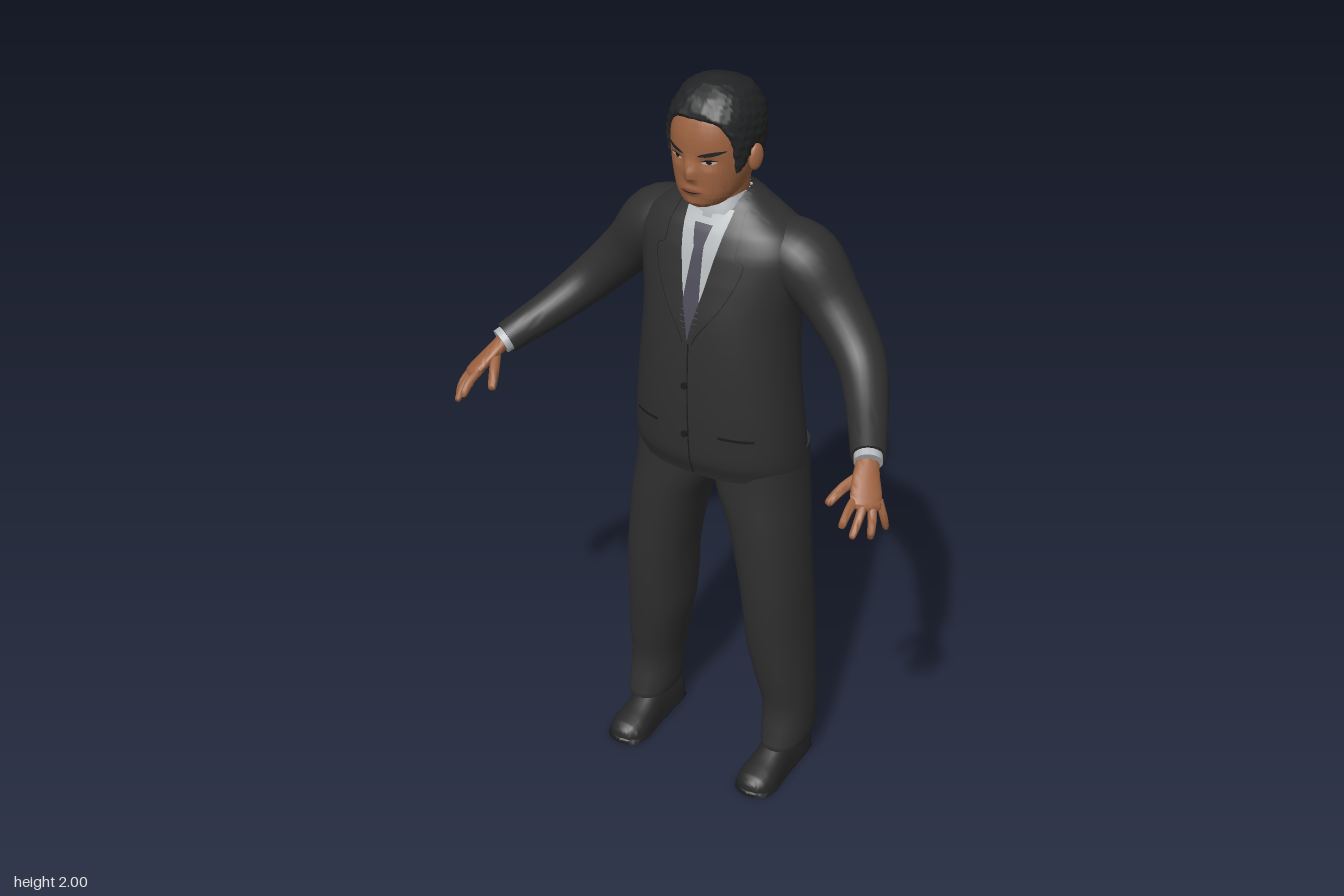
import * as THREE from 'three';
import { toCreasedNormals } from 'three/addons/utils/BufferGeometryUtils.js';

const mat = (name, color) => Object.assign(new THREE.MeshStandardMaterial({ color }), { name });
const { smoothstep } = THREE.MathUtils;
const spow = (v, p) => Math.sign(v) * Math.abs(v) ** p;

// Smooth lookup in a table whose first column is an ascending key
function section(rows, key) {
  let i = 0;
  while (i < rows.length - 2 && key > rows[i + 1][0]) i++;
  const r = k => rows[Math.min(Math.max(k, 0), rows.length - 1)];
  const t = Math.min(Math.max((key - r(i)[0]) / (r(i + 1)[0] - r(i)[0]), 0), 1);
  return r(i).slice(1).map((_, c) => {
    const [a, b, d, e] = [-1, 0, 1, 2].map(o => r(i + o)[c + 1]);
    return b + 0.5 * t * (d - a + t * (2 * a - 5 * b + 4 * d - e + t * (3 * (b - d) + e - a)));
  });
}

// Keys of a table with extra steps between the rows
function steps(rows, k) {
  const out = [];
  for (let i = 0; i < rows.length - 1; i++)
    for (let j = 0; j < k; j++) out.push(rows[i][0] + (rows[i + 1][0] - rows[i][0]) * j / k);
  return [...out, rows.at(-1)[0]];
}

// Closed skin through equal rings of points, with fan caps
function loft(rings, crease = 1) {
  const n = rings[0].length, pos = [], idx = [];
  rings.forEach(r => r.forEach(p => pos.push(p.x, p.y, p.z)));
  for (let i = 0; i < rings.length - 1; i++)
    for (let j = 0; j < n; j++) {
      const a = i * n + j, b = i * n + (j + 1) % n;
      idx.push(a, b, a + n, b, b + n, a + n);
    }
  [0, rings.length - 1].forEach((i, end) => {
    const c = rings[i].reduce((s, p) => s.add(p), new THREE.Vector3()).divideScalar(n);
    const m = pos.push(c.x, c.y, c.z) / 3 - 1;
    for (let j = 0; j < n; j++) {
      const a = i * n + j, b = i * n + (j + 1) % n;
      idx.push(...(end ? [a, b, m] : [b, a, m]));
    }
  });
  const g = new THREE.BufferGeometry();
  g.setAttribute('position', new THREE.Float32BufferAttribute(pos, 3));
  g.setIndex(idx);
  return toCreasedNormals(g, crease);
}

// Upright body from rows [y, halfWidth, zFront, zBack, centreX]
function body(rows, { seg = 48, k = 4, n = 2.3, s = 1, rule } = {}) {
  return loft(steps(rows, k).map(y => {
    const [w, zf, zb, cx = 0] = section(rows, y);
    return Array.from({ length: seg }, (_, j) => {
      const a = j / seg * Math.PI * 2;
      const p = new THREE.Vector3(w * spow(Math.sin(a), 2 / n), y,
        (zf + zb) / 2 + (zf - zb) / 2 * spow(Math.cos(a), 2 / n));
      if (rule) rule(p, a);
      p.x += s * cx;
      return p;
    });
  }));
}

// Depth of a body's front or back at x, y
function surface(rows, back, n = 2.3, bump = () => 0) {
  return (x, y) => {
    const [w, zf, zb] = section(rows, y);
    const d = (zf - zb) / 2 * Math.max(0, 1 - Math.abs(x / w) ** n) ** (1 / n);
    return (zf + zb) / 2 + (back ? -d : d + bump(x, y));
  };
}

// Thin sheet laid on a surface; at(u, v) gives x and y
function patch(surf, at, off, back = false, nu = 8, nv = 16) {
  const g = new THREE.PlaneGeometry(1, 1, nu, nv), p = g.attributes.position;
  for (let i = 0; i < p.count; i++) {
    const [x, y] = at(p.getX(i) + 0.5, p.getY(i) + 0.5);
    p.setXYZ(i, x, y, surf(x, y) + (back ? -off : off));
  }
  const [l, r, b, t] = [at(0, 0.5), at(1, 0.5), at(0.5, 0), at(0.5, 1)];
  const turn = (r[0] - l[0]) * (t[1] - b[1]) - (r[1] - l[1]) * (t[0] - b[0]);
  if (turn * (back ? -1 : 1) < 0) g.index.array.reverse();
  g.computeVertexNormals();
  return g;
}

// Tapered limb along points [x, y, z, radiusAcross, radiusAlongUp]
function limb(pts, s, up, seg = 16, k = 5) {
  const rows = pts.map((p, i) => [i, ...p]);
  const at = u => { const q = section(rows, u); return new THREE.Vector3(q[0] * s, q[1], q[2]); };
  const upV = new THREE.Vector3(up[0] * s, up[1], up[2]);
  return loft(steps(rows, k).map(u => {
    const [, , , ra, rb] = section(rows, u), c = at(u);
    const t = at(Math.min(u + 0.05, pts.length - 1)).sub(at(Math.max(u - 0.05, 0))).normalize();
    const e1 = upV.clone().cross(t).normalize(), e2 = t.clone().cross(e1);
    return Array.from({ length: seg }, (_, j) => {
      const a = j / seg * Math.PI * 2;
      return c.clone().addScaledVector(e1, ra * Math.cos(a)).addScaledVector(e2, rb * Math.sin(a));
    });
  }), 1.2);
}

// Flat-bottomed form along z from rows [z, halfWidth, height]
const shoeForm = (rows, cx, y0) => loft(steps(rows, 4).map(z => {
  const [w, h] = section(rows, z);
  return Array.from({ length: 24 }, (_, j) => {
    const a = j / 24 * Math.PI * 2;
    return new THREE.Vector3(cx + w * spow(Math.cos(a), 0.8), y0 + h * Math.max(0, Math.sin(a)) ** 0.8, z);
  });
}), 0.9);

// Body tables
const JACKET = [[0.95, .232, .045, -.272], [1, .232, .064, -.265], [1.1, .225, .07, -.255], [1.2, .215, .07, -.25],
  [1.3, .208, .065, -.255], [1.4, .207, .053, -.265], [1.5, .222, .03, -.26], [1.57, .228, .01, -.25],
  [1.62, .2, -.012, -.235], [1.66, .14, -.04, -.215], [1.69, .1, -.06, -.195], [1.705, .083, -.075, -.18]];
const LEG = [[.085, .058, -.01, -.2, .219], [.1, .062, -.01, -.202, .219], [.2, .066, -.03, -.205, .216],
  [.3, .075, -.015, -.207, .205], [.4, .083, 0, -.21, .192], [.5, .085, .012, -.215, .185], [.6, .087, .02, -.21, .178],
  [.7, .092, .023, -.215, .165], [.8, .1, .025, -.228, .148], [.9, .115, .023, -.243, .122], [1, .115, .02, -.245, .115]];
const HEAD = [[1.695, .03, .022, -.05], [1.705, .053, .034, -.09], [1.73, .075, .041, -.13], [1.77, .09, .044, -.165],
  [1.81, .098, .046, -.182], [1.85, .101, .047, -.19], [1.89, .1, .043, -.192], [1.93, .092, .028, -.18],
  [1.965, .068, -.005, -.15], [1.982, .035, -.037, -.105], [1.99, .003, -.068, -.074]];
const HAIRLINE = [[0, 1.922], [.6, 1.912], [.95, 1.87], [1.15, 1.79], [1.35, 1.8], [1.6, 1.845], [1.95, 1.76], [3.15, 1.735]];
const V_EDGE = [[0, 0], [.5, .036], [1, .064]];
const LAPEL = [[0, .012], [.35, .085], [.66, .122], [.7, .1], [.85, .098], [1, .088]];

const bell = (x, w) => Math.exp(-((x / w) ** 2));
// Nose, eye sockets, lips and chin
const face = (x, y) => 0.02 * bell(x, .014) * (1 - smoothstep(1.84 - y, 0, .055) < 1 ? smoothstep(1.84 - y, 0, .055) : 0) * smoothstep(y, 1.764, 1.782)
  - .008 * bell(Math.abs(x) - .042, .02) * bell(y - 1.822, .014)
  + .006 * bell(x, .026) * bell(y - 1.743, .012) + .005 * bell(x, .025) * bell(y - 1.712, .01);

export function createModel() {
  const suit = mat('suit', 0x2f2f30), seam = mat('seam', 0x1b1b1c), shirt = mat('shirt', 0xb4b8ba), tie = mat('tie', 0x4b4a57),
    skin = mat('skin', 0x9c6240), hair = mat('hair', 0x222324), shoe = mat('shoe', 0x262626), lips = mat('lips', 0x834a38),
    eyeWhite = mat('eyeWhite', 0xb9aea6);
  const model = new THREE.Group();
  const add = (name, geo, m) => {
    const mesh = new THREE.Mesh(geo, m);
    mesh.name = name;
    model.add(mesh);
    return mesh;
  };

  // Jacket, shirt front and tie
  const chest = surface(JACKET, false), rear = surface(JACKET, true);
  const vY = v => 1.34 + .33 * v;
  add('jacket', body(JACKET, { seg: 64 }), suit);
  add('shirtFront', patch(chest, (u, v) => [(u * 2 - 1) * section(V_EDGE, v)[0], vY(v)], .003), shirt);
  add('tieBlade', patch(chest, (u, v) => [(u * 2 - 1) * Math.min(.03 - .017 * v, .002 + .12 * v), 1.35 + .24 * v], .006), tie);
  add('tieKnot', patch(chest, (u, v) => [(u * 2 - 1) * (.014 + .011 * v), 1.585 + .05 * v], .009), tie);
  add('frontSeam', patch(chest, (u, v) => [.004 * u + .006 * (1 - v), .955 + .385 * v], .002, false, 2), seam);
  add('backSeam', patch(rear, (u, v) => [.003 * (u - .5), .955 + .7 * v], .0015, true, 2, 32), seam);
  add('backVent', patch(rear, (u, v) => [.008 * (u - .5), .955 + .16 * v], .002, true, 2), seam);
  for (const y of [1.08, 1.22]) {
    const b = add('jacketButton', new THREE.CylinderGeometry(.009, .009, .008, 14), seam);
    b.rotation.x = Math.PI / 2;
    b.position.set(-.004, y, chest(0, y) + .003);
  }
  add('shirtCollar', body([[1.62, .08, -.025, -.185], [1.66, .075, -.03, -.18], [1.705, .067, -.043, -.17]]), shirt);
  add('neck', body([[1.6, .06, -.05, -.16], [1.68, .061, -.045, -.16], [1.75, .068, -.02, -.165]]), skin);

  // Head and hair
  const faceZ = surface(HEAD, false, 2.3, face);
  add('head', body(HEAD, { seg: 96, k: 6, rule: (p, a) => { if (Math.cos(a) > 0) p.z += face(p.x, p.y); } }), skin);
  add('hair', body(HEAD.slice(2), {
    seg: 96, k: 7, rule: (p, a) => {
      const side = Math.min(a, Math.PI * 2 - a), line = section(HAIRLINE, side)[0];
      const tuft = .0025 * Math.sin(a * 17 + p.y * 90) * Math.sin(p.y * 170 - a * 9);
      const o = -.008 + (.018 + tuft) * smoothstep(p.y, line - .008, line + .012);
      p.x += o * Math.sin(a);
      p.z += o * Math.cos(a);
      p.y += .01 * smoothstep(p.y, 1.92, 1.985);
    },
  }), hair);
  const lens = (cx, cy, w, h, slant = 0) => (u, v) => {
    const t = u * 2 - 1;
    return [cx + w * t, cy + slant * t + (v - .5) * 2 * h * (1 - t * t * .9)];
  };
  add('mouth', patch(faceZ, lens(0, 1.743, .03, .008), .002, false, 12, 4), lips);
  add('mouthLine', patch(faceZ, lens(0, 1.743, .029, .0016), .0035, false, 12, 2), seam);

  for (const s of [1, -1]) {
    const side = s > 0 ? 'left' : 'right';
    // Face details
    add(side + 'Brow', patch(faceZ, lens(s * .05, 1.846, .031, .0055, s * .007), .003, false, 12, 3), hair);
    add(side + 'Eye', patch(faceZ, lens(s * .045, 1.823, .018, .0055, s * .002), .002, false, 10, 4), eyeWhite);
    add(side + 'Iris', patch(faceZ, lens(s * .044, 1.8235, .007, .0055), .0035, false, 6, 4), seam);
    add(side + 'EyeLid', patch(faceZ, lens(s * .045, 1.829, .02, .002, s * .002), .004, false, 10, 2), seam);
    const ear = add(side + 'Ear', new THREE.SphereGeometry(1, 18, 14), skin);
    ear.scale.set(.011, .033, .021);
    ear.position.set(s * .105, 1.812, -.078);
    ear.rotation.set(-.2, s * -.35, 0);

    // Lapel, collar flap and pocket
    add(side + 'Lapel', patch(chest, (u, v) => {
      const a = section(V_EDGE, v)[0], b = section(LAPEL, v)[0];
      return [s * (a + (b - a) * u), vY(v)];
    }, .006, false, 8, 40), suit);
    add(side + 'LapelEdge', patch(chest, (u, v) => [s * (section(LAPEL, v)[0] + .003 * u), vY(v)], .005, false, 1, 40), seam);
    add(side + 'CollarFlap', patch(chest, (u, v) => [s * (.012 + .016 * (1 - v) + u * (.004 + .04 * v)), 1.575 + .085 * v], .008), shirt);
    add(side + 'Pocket', patch(chest, (u, v) => [s * (.09 + .085 * u), 1.088 + .008 * v - .006 * u], .003, false, 8, 2), seam);

    // Sleeve and cuff
    add(side + 'Sleeve', limb([[.13, 1.575, -.135, .07, .085], [.215, 1.54, -.138, .088, .098], [.3, 1.445, -.135, .071, .08],
      [.395, 1.343, -.1, .061, .067], [.465, 1.272, -.015, .051, .054], [.535, 1.212, .1, .042, .044]], s, [0, 0, 1], 28), suit);
    add(side + 'Cuff', limb([[.52, 1.225, .075, .034, .036], [.543, 1.204, .115, .034, .036]], s, [0, 0, 1], 24, 2), shirt);

    // Hand
    const across = [.048, -.018, -.035];
    add(side + 'Palm', limb([[.535, 1.21, .1, .022, .026], [.553, 1.183, .14, .018, .034], [.573, 1.153, .175, .016, .04],
      [.583, 1.138, .197, .012, .036], [.587, 1.133, .204, .005, .02]], s, across, 20), skin);
    const fingers = {
      Thumb: [[.545, 1.185, .135], [.515, 1.16, .185], [.495, 1.128, .225]],
      Index: [[.556, 1.155, .185], [.558, 1.138, .232], [.558, 1.108, .268]],
      Middle: [[.575, 1.148, .185], [.583, 1.12, .226], [.583, 1.083, .26]],
      Ring: [[.59, 1.143, .175], [.606, 1.108, .202], [.612, 1.07, .22]],
      Pinky: [[.6, 1.142, .16], [.615, 1.105, .163], [.62, 1.065, .155]],
    };
    for (const [name, [a, b, c]] of Object.entries(fingers)) {
      const r = name === 'Thumb' ? .0135 : name === 'Pinky' ? .0095 : .011;
      const near = b.map((v, i) => v + (c[i] - v) * .85);
      add(side + name, limb([[...a, r, r * 1.1], [...b, r, r], [...near, r * .8, r * .8], [...c, r * .3, r * .3]],
        s, across, 12, 3), skin);
    }

    // Trouser leg and shoe
    add(side + 'TrouserLeg', body(LEG, { seg: 40, s }), suit);
    add(side + 'Shoe', shoeForm([[-.193, .022, .07], [-.18, .042, .085], [-.13, .048, .098], [-.06, .047, .098], [0, .052, .07],
      [.045, .055, .053], [.075, .046, .042], [.093, .025, .026], [.098, .008, .012]], s * .211, .006), shoe);
    add(side + 'Sole', shoeForm([[-.197, .02, .016], [-.183, .044, .018], [-.1, .05, .018], [-.02, .054, .016], [.04, .06, .016],
      [.08, .05, .016], [.097, .03, .015], [.102, .01, .012]], s * .211, 0), seam);
  }
  return model;
}
